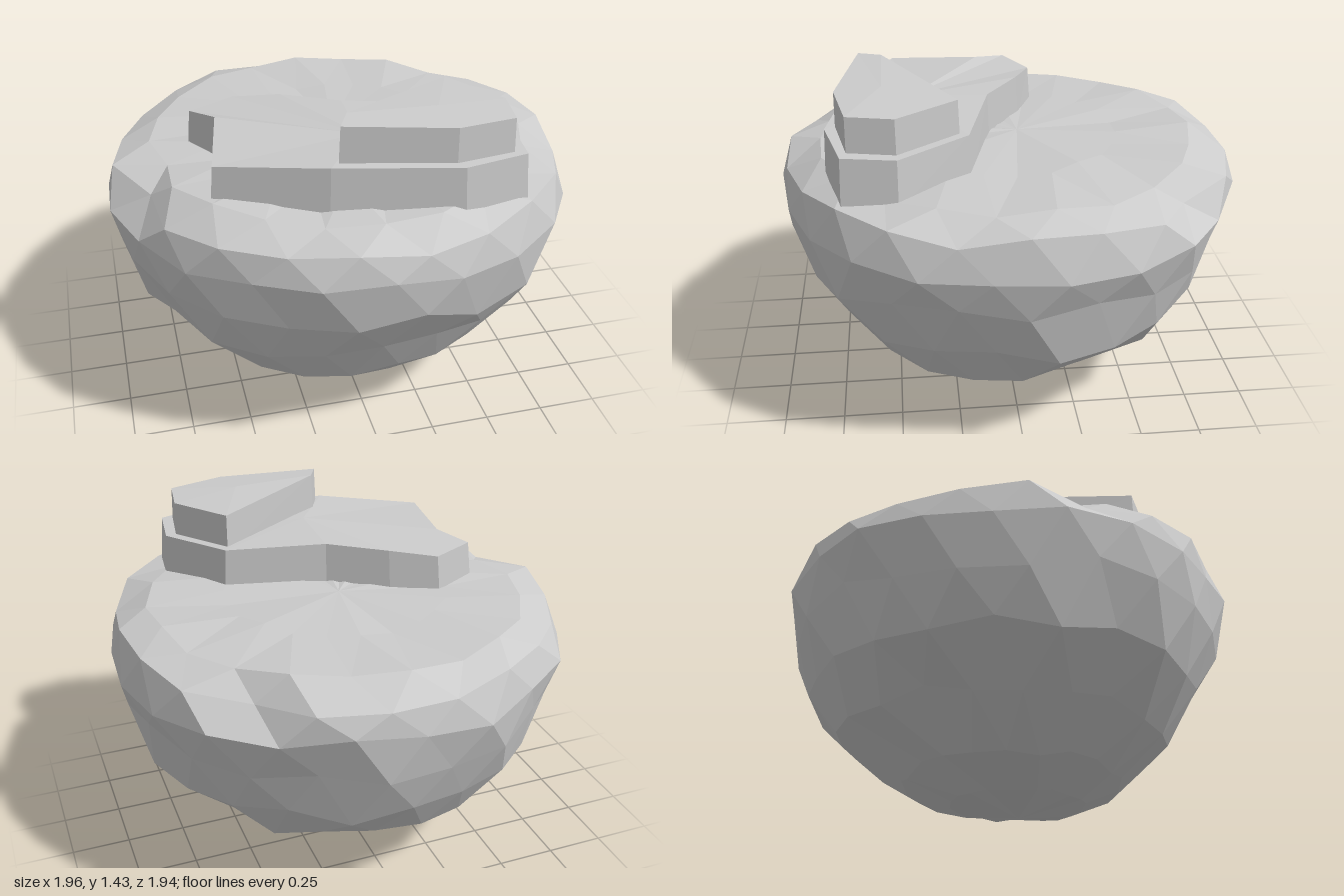
import * as THREE from 'three';

const material = new THREE.MeshStandardMaterial({ color: 0xcccccc, flatShading: true });

// Small seeded noise in the range -1..1
function seededNoise(seed) {
  return () => {
    seed = (seed * 16807) % 2147483647;
    return (seed / 2147483647) * 2 - 1;
  };
}

// Closed loft: stacked rings (bottom to top) capped by fans; staggered rings alternate diagonals
function loft(name, rings, bottom, top, staggered = false) {
  const pos = [];
  const tri = (...pts) => pts.forEach((p) => pos.push(...p));
  const n = rings[0].length;
  const last = rings[rings.length - 1];
  for (let i = 0; i < n; i++) {
    const k = (i + 1) % n;
    tri(bottom, rings[0][i], rings[0][k]);
    tri(top, last[k], last[i]);
    for (let j = 0; j + 1 < rings.length; j++) {
      const a = rings[j], b = rings[j + 1];
      if (staggered && j % 2) {
        tri(a[i], b[i], b[k]);
        tri(a[i], b[k], a[k]);
      } else {
        tri(a[i], b[i], a[k]);
        tri(b[i], b[k], a[k]);
      }
    }
  }
  const geometry = new THREE.BufferGeometry();
  geometry.setAttribute('position', new THREE.Float32BufferAttribute(pos, 3));
  geometry.computeVertexNormals();
  const mesh = new THREE.Mesh(geometry, material);
  mesh.name = name;
  return mesh;
}

// Faceted boulder: each level is height, then radius toward +x, +z, -x, -z, and height roughness
function boulder() {
  const noise = seededNoise(4711);
  const levels = [
    [0.05, 0.22, 0.30, 0.24, 0.28, 0.01],
    [0.13, 0.48, 0.46, 0.47, 0.47, 0.02],
    [0.31, 0.71, 0.70, 0.67, 0.74, 0.035],
    [0.50, 0.87, 0.83, 0.87, 0.87, 0.04],
    [0.71, 0.95, 0.94, 0.94, 0.94, 0.05],
    [0.91, 0.99, 0.98, 0.985, 0.98, 0.035],
    [1.04, 0.95, 0.93, 0.94, 0.94, 0.025],
    [1.095, 0.80, 0.80, 0.80, 0.80, 0.018],
    [1.10, 0.48, 0.48, 0.48, 0.48, 0.015],
  ];
  const n = 22;
  const rings = levels.map(([y, px, pz, nx, nz, rough], j) =>
    Array.from({ length: n }, (_, i) => {
      const a = ((i + (j % 2) / 2) / n) * Math.PI * 2;
      const c = Math.cos(a), s = Math.sin(a);
      const r = (c > 0 ? px : nx) * c * c + (s > 0 ? pz : nz) * s * s;
      const rr = r * (1 + 0.02 * noise());
      // the underside is centred slightly off the axis
      const shift = 0.04 * Math.max(0, 1 - y / 0.3);
      return [c * rr + shift * 0.5, y + rough * noise(), s * rr + shift];
    }));
  // chipped notches along the rim: ring, segment, radial scale
  [[6, 10, 0.9], [7, 10, 0.92], [6, 19, 0.93], [5, 7, 0.96], [4, 4, 0.95]].forEach(([j, i, k]) => {
    const p = rings[j][i];
    p[0] *= k;
    p[2] *= k;
    p[1] -= 0.03;
  });
  return loft('boulder', rings, [0.03, 0, 0.05], [0, 1.1, -0.05], true);
}

// Tapered stone slab: outline points are x, z and top height
function slab(name, outline, base, centre, taper) {
  const [cx, , cz] = centre;
  const lower = outline.map(([x, z]) => [x, base, z]);
  const upper = outline.map(([x, z, y]) => [cx + (x - cx) * taper, y, cz + (z - cz) * taper]);
  return loft(name, [lower, upper], [cx, base, cz], centre);
}

export function createModel() {
  const group = new THREE.Group();
  group.name = 'steppedRock';
  group.add(boulder());

  // Wide lower ledge
  group.add(slab('lowerSlab', [
    [0.44, 0.18, 1.26], [0.64, 0.47, 1.25], [0.61, 0.69, 1.255], [0.33, 0.76, 1.265],
    [-0.18, 0.66, 1.275], [-0.61, 0.48, 1.245], [-0.54, 0.08, 1.26],
    [-0.63, -0.06, 1.235], [-0.43, -0.16, 1.235], [-0.23, -0.08, 1.26], [0.01, 0.07, 1.27],
  ], 1.05, [0, 1.275, 0.4], 0.975));

  // Narrow upper ledge
  group.add(slab('upperSlab', [
    [0.41, 0.22, 1.40], [0.58, 0.47, 1.395], [0.55, 0.66, 1.40], [0.30, 0.71, 1.41],
    [-0.14, 0.62, 1.425], [-0.09, 0.52, 1.43],
  ], 1.22, [0.28, 1.42, 0.52], 0.98));

  return group;
}
